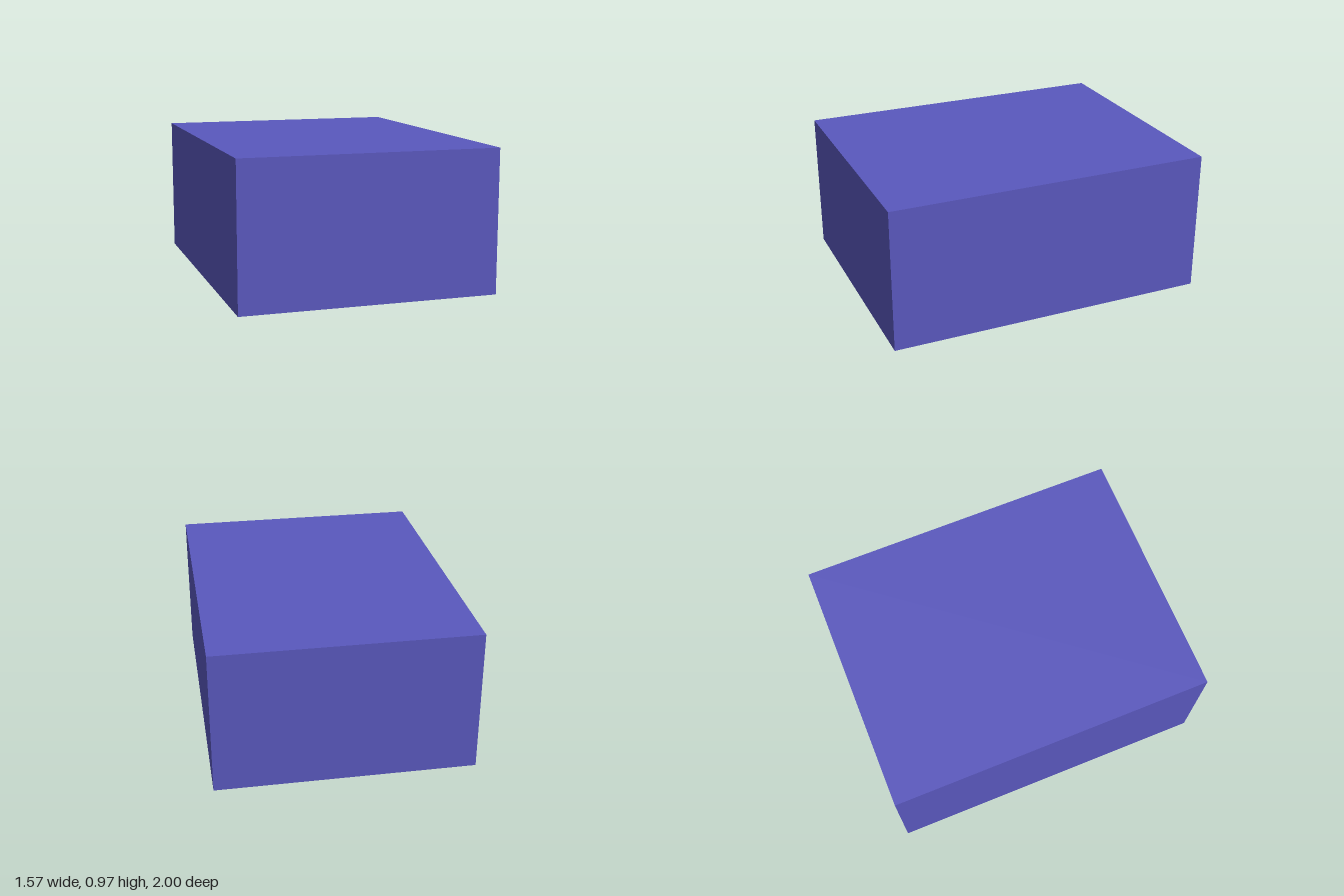
import * as THREE from 'three';

export function createModel() {
  const model = new THREE.Group();
  const footHeight = 0.087, bodyHeight = 0.88;

  // Plain rectangular housing
  const body = new THREE.Mesh(
    new THREE.BoxGeometry(1.574, bodyHeight, 2),
    new THREE.MeshStandardMaterial({ color: 0x5a58be })
  );
  body.name = 'housing';
  body.position.y = footHeight + bodyHeight / 2;
  model.add(body);

  // Short round pins under the housing: a row on the left, a row at the back, one in the far corner
  const pinGeometry = new THREE.CylinderGeometry(0.061, 0.061, footHeight, 32);
  const pinMaterial = new THREE.MeshStandardMaterial({ color: 0xcccccc });
  const [right, middle, left] = [-0.603, -0.003, 0.588];
  const [back, centre, front] = [-0.64, -0.01, 0.625];
  const places = [
    [left, back], [left, centre], [left, front],
    [middle, back], [right, back], [right, front],
  ];
  places.forEach(([x, z], i) => {
    const pin = new THREE.Mesh(pinGeometry, pinMaterial);
    pin.name = `pin${i + 1}`;
    pin.position.set(x, footHeight / 2, z);
    model.add(pin);
  });

  return model;
}
